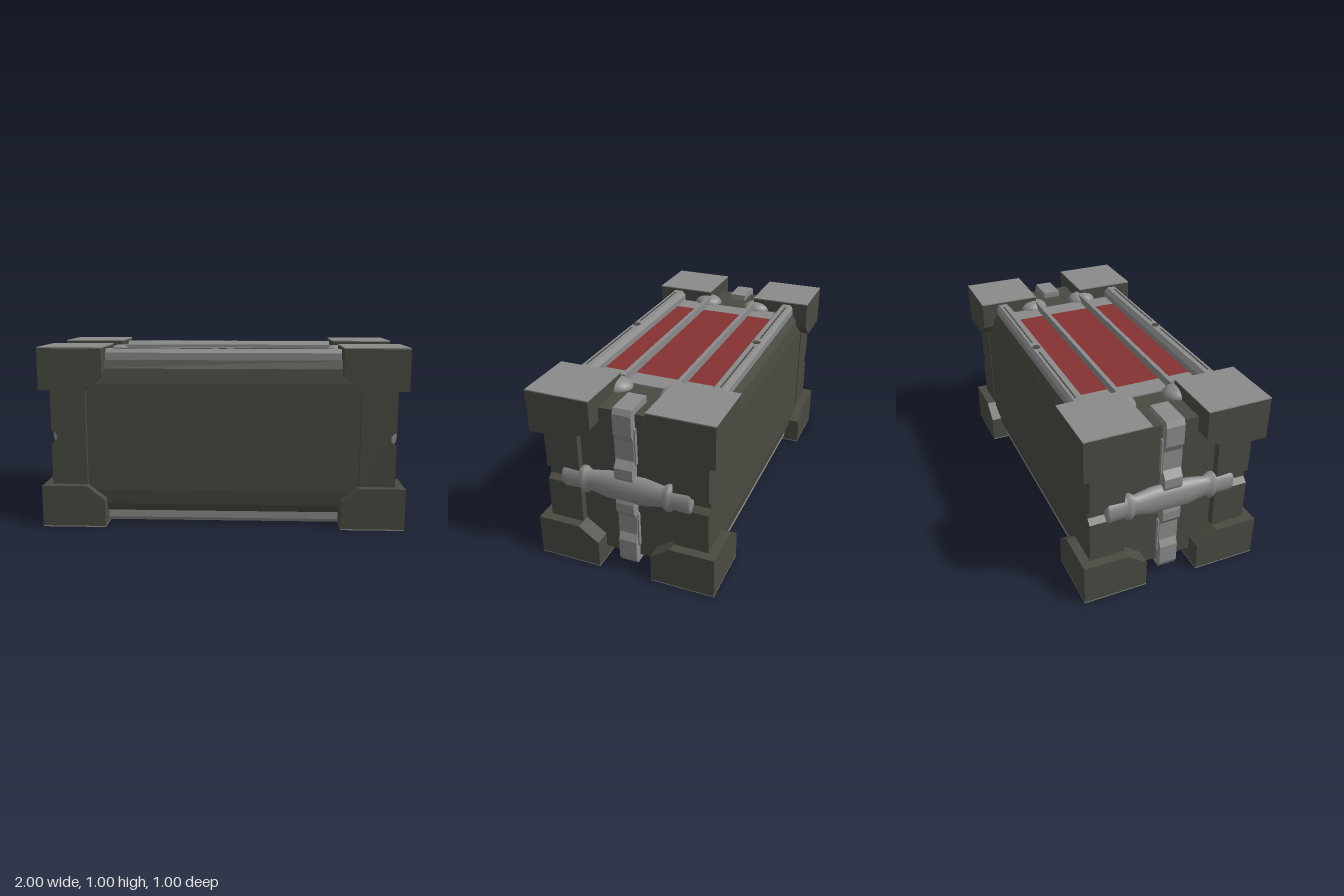
import * as THREE from 'three';
import { ConvexGeometry } from 'three/addons/geometries/ConvexGeometry.js';

const mat = (name, color) => Object.assign(new THREE.MeshStandardMaterial({ color }), { name });

// Mirror a geometry about the crate centre, keeping faces outward
function mirrored(geo, sx, sy, sz) {
  const g = geo.index ? geo.toNonIndexed() : geo.clone();
  g.translate(0, -0.5, 0).scale(sx, sy, sz).translate(0, 0.5, 0);
  if (sx * sy * sz < 0) {
    for (const key of ['position', 'normal', 'uv']) {
      const a = g.attributes[key];
      if (!a) continue;
      const n = a.itemSize;
      for (let i = 0; i < a.count; i += 3)
        for (let k = 0; k < n; k++) {
          const p = (i + 1) * n + k, q = (i + 2) * n + k;
          [a.array[p], a.array[q]] = [a.array[q], a.array[p]];
        }
    }
  }
  return g;
}

// Box from its limits
const box = (x0, x1, y0, y1, z0, z1) =>
  new THREE.BoxGeometry(x1 - x0, y1 - y0, z1 - z0).translate((x0 + x1) / 2, (y0 + y1) / 2, (z0 + z1) / 2);

const shapeOf = (pts) => new THREE.Shape(pts.map(([a, b]) => new THREE.Vector2(a, b)));

// Profile of [x, y] points extruded from z0 to z1
const extrudeZ = (pts, z0, z1) =>
  new THREE.ExtrudeGeometry(shapeOf(pts), { depth: z1 - z0, bevelEnabled: false }).translate(0, 0, z0);

// Profile of [z, y] points extruded along x, centred
const extrudeX = (pts, length) =>
  new THREE.ExtrudeGeometry(shapeOf(pts), { depth: length, bevelEnabled: false })
    .rotateY(-Math.PI / 2).translate(length / 2, 0, 0);

export function createModel() {
  const crate = new THREE.Group();
  crate.name = 'crate';
  const dark = mat('dark olive metal', 0x4a4a42);
  const grey = mat('grey metal', 0x8a8a8a);
  const red = mat('red panel', 0x863232);

  const add = (name, geo, material) => {
    const mesh = new THREE.Mesh(geo, material);
    mesh.name = name;
    crate.add(mesh);
  };
  // Repeat a part over the chosen mirror axes
  const repeat = (name, geo, material, axes) => {
    const signs = (a) => (axes.includes(a) ? [1, -1] : [1]);
    for (const sx of signs('x')) for (const sy of signs('y')) for (const sz of signs('z'))
      add(name, mirrored(geo, sx, sy, sz), material);
  };

  // Main body with sloped upper and lower side edges
  add('body', extrudeX([
    [0.41, 0.075], [0.435, 0.12], [0.447, 0.2], [0.447, 0.8], [0.435, 0.88], [0.41, 0.925],
    [-0.41, 0.925], [-0.435, 0.88], [-0.447, 0.8], [-0.447, 0.2], [-0.435, 0.12], [-0.41, 0.075],
  ], 1.5), dark);
  repeat('endCore', box(0.74, 0.91, 0.075, 0.925, -0.27, 0.27), dark, 'x');

  // End posts with a notch at mid height
  repeat('endPost', extrudeZ([
    [0.755, 0.2], [0.95, 0.2], [0.95, 0.46], [0.92, 0.485], [0.92, 0.515], [0.95, 0.54], [0.95, 0.8], [0.755, 0.8],
  ], 0.26, 0.45), dark, 'xz');

  // Corner blocks, tapered on the inner side, with grey caps
  const cornerPoints = [];
  for (const [y, x, z] of [[0.994, 0.65, 0.15], [0.845, 0.65, 0.15], [0.767, 0.75, 0.26]])
    for (const px of [x, 1]) for (const pz of [z, 0.5]) cornerPoints.push(new THREE.Vector3(px, y, pz));
  repeat('cornerBlock', new ConvexGeometry(cornerPoints), dark, 'xyz');
  repeat('cornerCap', box(0.65, 1, 0.994, 1, 0.15, 0.5), grey, 'xyz');

  // Top and bottom panels
  repeat('redPanel', box(-0.5, 0.5, 0.924, 0.932, -0.32, 0.32), red, 'y');
  repeat('panelEnd', box(0.5, 0.62, 0.924, 0.932, -0.32, 0.32), grey, 'xy');

  // Edge rails with slits and a central stud
  repeat('rail', extrudeX([
    [0.325, 0.92], [0.41, 0.92], [0.41, 0.965], [0.395, 0.985], [0.345, 0.985], [0.325, 0.96],
  ], 1.29), grey, 'yz');
  repeat('railSlit', box(0.06, 0.6, 0.983, 0.987, 0.372, 0.38), dark, 'xyz');
  repeat('railStud', new THREE.CylinderGeometry(0.022, 0.022, 0.006, 12).translate(0, 0.985, 0.372), dark, 'yz');

  // Thin ribs over the panels, ending in rounded sockets
  repeat('rib', box(-0.63, 0.63, 0.924, 0.975, 0.137, 0.16), grey, 'yz');
  repeat('ribSocket', new THREE.SphereGeometry(1, 20, 12).scale(0.075, 0.05, 0.085).translate(0.665, 0.925, 0.165), grey, 'xyz');

  // Vertical end straps
  repeat('endStrap', extrudeZ([
    [0.77, 0.5], [0.94, 0.5], [0.965, 0.58], [0.965, 0.63], [0.935, 0.67], [0.935, 0.78],
    [0.955, 0.82], [0.955, 0.93], [0.94, 0.96], [0.77, 0.96],
  ], -0.05, 0.05), grey, 'xy');
  repeat('strapPad', box(0.9, 0.93, 0.65, 0.85, -0.058, 0.058), grey, 'xy');

  // Horizontal handle bars, thicker at the middle and the collars
  const bar = new THREE.LatheGeometry([
    [0, -0.36], [0.055, -0.36], [0.065, -0.345], [0.062, -0.26], [0.08, -0.245], [0.08, -0.225], [0.06, -0.2],
    [0.08, -0.1], [0.08, 0.1], [0.06, 0.2], [0.08, 0.225], [0.08, 0.245], [0.062, 0.26], [0.065, 0.345],
    [0.055, 0.36], [0, 0.36],
  ].map(([r, y]) => new THREE.Vector2(r, y)), 12)
    .rotateX(Math.PI / 2).scale(0.6, 1, 1).translate(0.93, 0.5, 0);
  repeat('handleBar', bar, grey, 'x');

  return crate;
}
